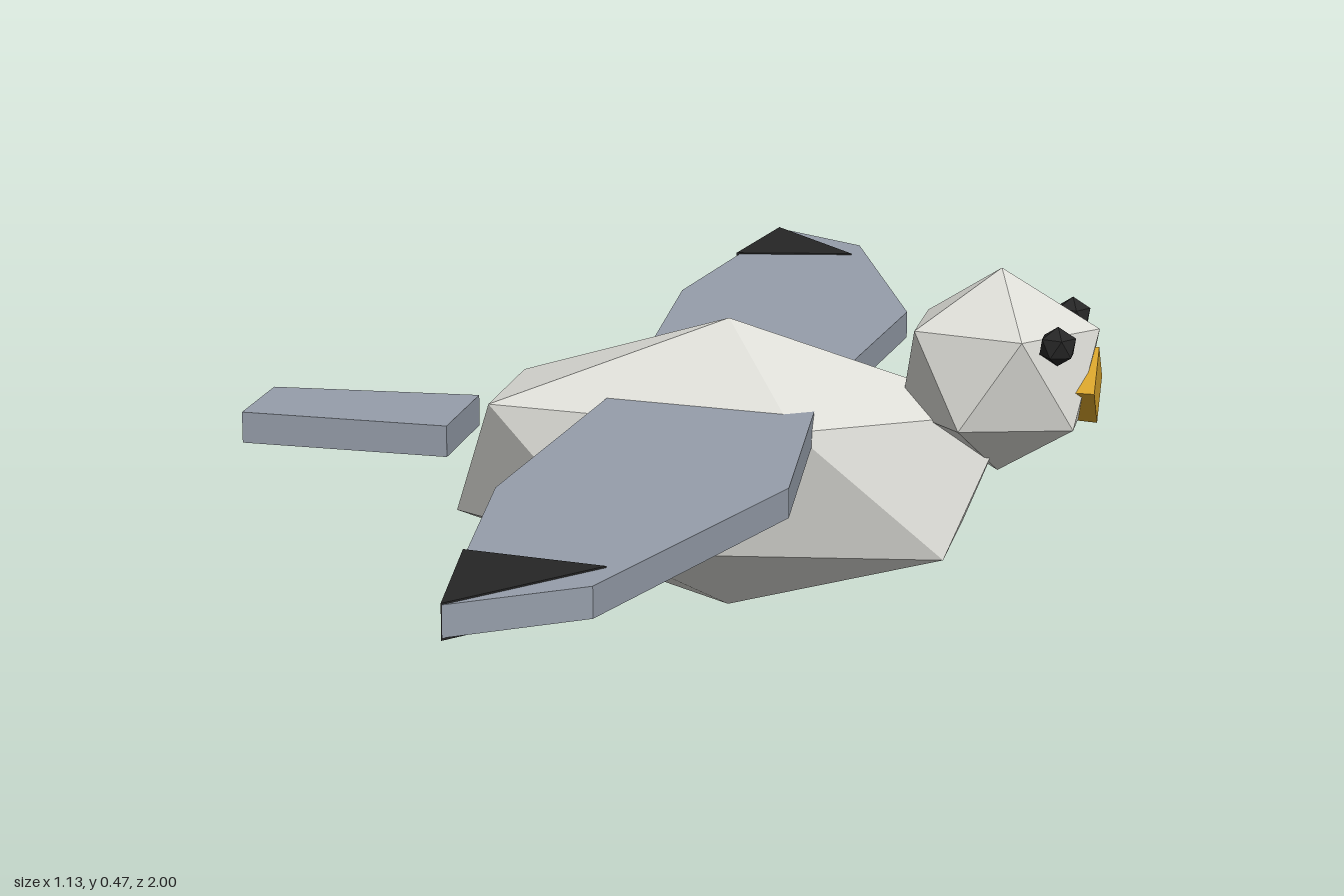
import * as THREE from 'three';

const mat = (name, color) => {
  const m = new THREE.MeshStandardMaterial({ color });
  m.name = name;
  return m;
};

export function createModel() {
  const plumage = mat('pale grey plumage', 0xdcdcd6);
  const feather = mat('blue grey feathers', 0x969eaa);
  const black = mat('black', 0x262626);
  const yellow = mat('beak yellow', 0xd9a52c);

  const bird = new THREE.Group();
  bird.name = 'bird';
  const add = (name, geometry, material) => {
    const mesh = new THREE.Mesh(geometry, material);
    mesh.name = name;
    bird.add(mesh);
  };

  // Stretched icosahedron with its poles on the y axis
  const ico = (rx, ry, rz, x, y, z) => {
    const g = new THREE.IcosahedronGeometry(1, 0);
    g.rotateZ(-Math.atan(2 / (1 + Math.sqrt(5))));
    g.scale(rx, ry, rz).translate(x, y, z);
    g.computeVertexNormals();
    return g;
  };

  // Flat plate from an [x, z] outline between two heights
  const plate = (outline, bottom, top) => {
    const shape = new THREE.Shape(outline.map(([x, z]) => new THREE.Vector2(x, z)));
    const g = new THREE.ExtrudeGeometry(shape, { depth: top - bottom, bevelEnabled: false });
    return g.rotateX(Math.PI / 2).translate(0, top, 0);
  };

  add('body', ico(0.414, 0.195, 0.184, 0.08, 0.195, 0), plumage);
  add('head', ico(0.142, 0.134, 0.118, 0.435, 0.339, 0), plumage);

  // Four-sided beak
  const beak = new THREE.CylinderGeometry(0.05, 0.046, 0.06, 4).toNonIndexed();
  beak.rotateZ(-Math.PI / 2).translate(0.532, 0.325, 0);
  beak.computeVertexNormals();
  add('beak', beak, yellow);

  add('tail', plate([[-0.565, -0.07], [-0.28, -0.084], [-0.28, 0.084], [-0.565, 0.07]],
    0.204, 0.246), feather);

  const wing = [[-0.06, 0.08], [0.21, 0.08], [0.245, 0.47], [0.107, 0.9], [-0.035, 0.999], [-0.095, 0.54]];
  const tip = [[-0.036, 1], [-0.065, 0.8], [0.106, 0.83]];
  for (const [side, s] of [['left', -1], ['right', 1]]) {
    const mirror = (pts) => pts.map(([x, z]) => [x, z * s]);
    add(side + 'Wing', plate(mirror(wing), 0.262, 0.299), feather);
    add(side + 'WingTip', plate(mirror(tip), 0.259, 0.301), black);
    add(side + 'Eye', ico(0.0255, 0.0255, 0.0255, 0.518, 0.394, 0.087 * s), black);
  }
  return bird;
}
